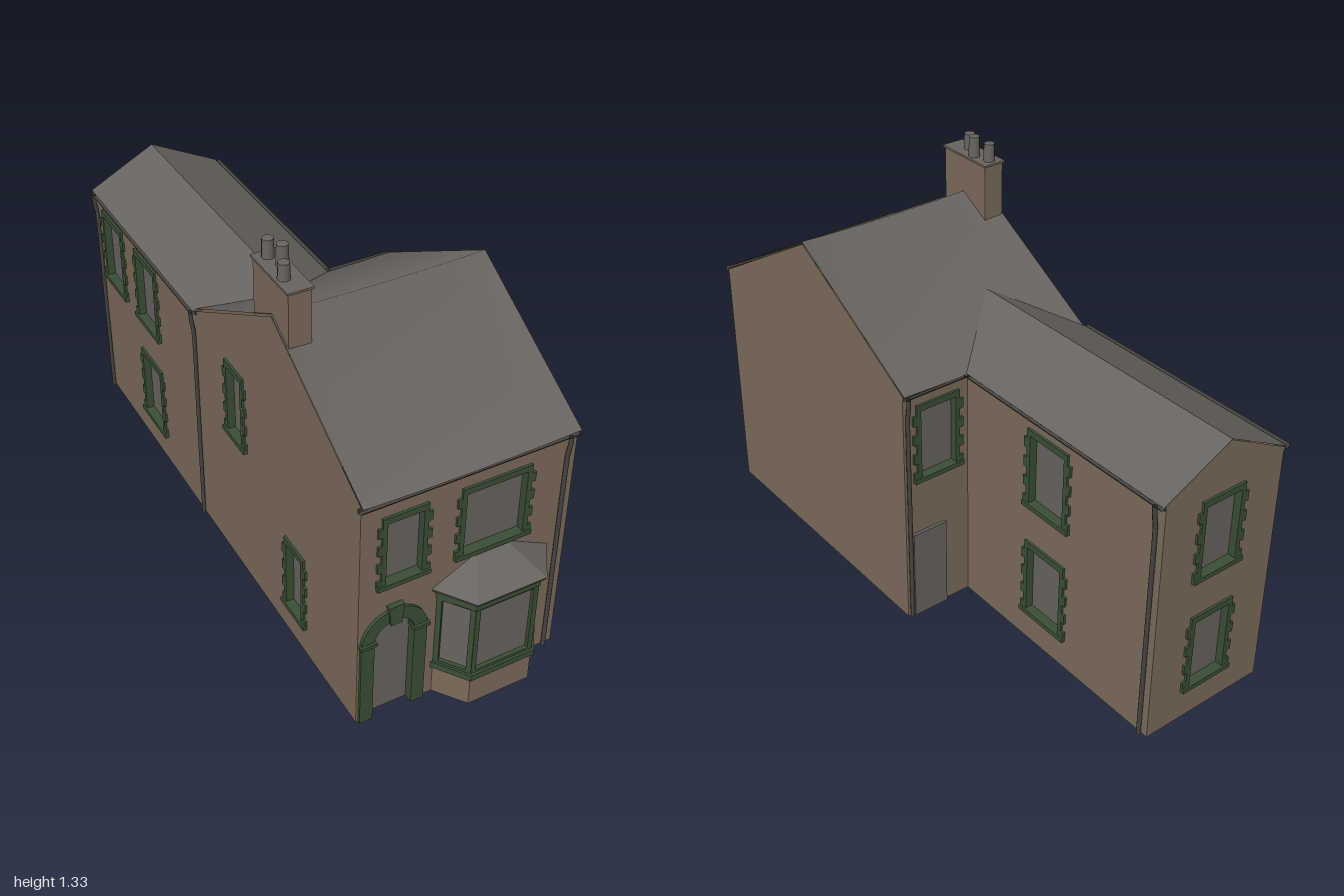
import * as THREE from 'three';

const mat = (name, color) => Object.assign(new THREE.MeshStandardMaterial({ color, side: THREE.DoubleSide }), { name });
const stone = mat('stone wall', 0x7d6c5a);
const slate = mat('slate grey', 0x686461);
const green = mat('green trim', 0x3a4f35);
const iron = mat('dark gutter', 0x454443);

const V2 = (x, y) => new THREE.Vector2(x, y);
const PI = Math.PI;

function add(parent, name, geometry, material, x = 0, y = 0, z = 0) {
  const m = new THREE.Mesh(geometry, material);
  m.name = name;
  m.position.set(x, y, z);
  parent.add(m);
  return m;
}
const box = (parent, name, material, w, h, d, x, y, z) =>
  add(parent, name, new THREE.BoxGeometry(w, h, d), material, x, y, z);
const rect = (x0, y0, x1, y1) => [V2(x0, y0), V2(x1, y0), V2(x1, y1), V2(x0, y1)];
const extrude = (shape, depth) => new THREE.ExtrudeGeometry(shape, { depth, bevelEnabled: false, curveSegments: 10 });

function faces(points, triangles) {
  const g = new THREE.BufferGeometry();
  g.setAttribute('position', new THREE.Float32BufferAttribute(triangles.flatMap(i => points[i]), 3));
  g.computeVertexNormals();
  return g;
}

// Horizontal slab from a plan outline of [x, z] points
function slab(parent, name, material, plan, y0, y1) {
  const g = extrude(new THREE.Shape(plan.map(([x, z]) => V2(x, -z))), y1 - y0);
  return add(parent, name, g.rotateX(-PI / 2), material, 0, y0, 0);
}

// Glass opening of a window [u, bottom, width, height]
const opening = ([u, y, w, h]) => rect(u - w / 2 + 0.028, y + 0.014, u + w / 2 - 0.028, y + h - 0.021);

// Window with toothed stone surround, sill and recessed pane
function addWindow(parent, win) {
  const [u, y, w, h] = win, steps = 8, right = [], left = [];
  for (let i = 0; i < steps; i++) {
    const half = w / 2 - (i % 2 ? 0.013 : 0);
    for (const k of [i, i + 1]) {
      right.push(V2(u + half, y + h * k / steps));
      left.unshift(V2(u - half, y + h * k / steps));
    }
  }
  const g = new THREE.Group();
  g.name = 'window';
  parent.add(g);
  const shape = new THREE.Shape([...right, ...left]);
  const hole = opening(win);
  shape.holes.push(new THREE.Path(hole));
  add(g, 'window surround', extrude(shape, 0.038), green, 0, 0, -0.03);
  add(g, 'window pane', new THREE.ShapeGeometry(new THREE.Shape(hole)), slate, 0, 0, -0.018);
  box(g, 'window sill', green, w, 0.016, 0.028, u, y + 0.006, 0);
}

// One elevation, drawn in its own plane with outward = local +z
function elevation(root, name, rotY, x, z, outline, windows = [], extraHole) {
  const g = new THREE.Group();
  g.name = name;
  g.rotation.y = rotY;
  g.position.set(x, 0, z);
  root.add(g);
  const shape = new THREE.Shape(outline);
  windows.forEach(w => shape.holes.push(new THREE.Path(opening(w))));
  if (extraHole) shape.holes.push(extraHole);
  add(g, name + ' wall', new THREE.ShapeGeometry(shape), stone);
  windows.forEach(w => addWindow(g, w));
  return g;
}

function gutter(parent, u0, u1) {
  const g = new THREE.CylinderGeometry(0.011, 0.011, u1 - u0, 8, 1, true, -PI / 2, PI);
  g.rotateZ(PI / 2).rotateX(PI / 2);
  const pos = g.attributes.position;
  g.computeBoundingBox();
  // keep the trough open upward
  if (g.boundingBox.max.y > 0.005) for (let i = 0; i < pos.count; i++) pos.setY(i, -pos.getY(i));
  g.computeVertexNormals();
  add(parent, 'gutter', g, iron, (u0 + u1) / 2, 0.838, 0.013);
  box(parent, 'fascia', iron, u1 - u0, 0.014, 0.006, (u0 + u1) / 2, 0.83, 0.003);
}

function downpipe(parent, u) {
  const pts = [[0.83, 0.016], [0.805, 0.015], [0.76, 0.008], [0.72, 0.007], [0.4, 0.007], [0, 0.007]];
  const curve = new THREE.CatmullRomCurve3(pts.map(([y, z]) => new THREE.Vector3(u, y, z)));
  add(parent, 'downpipe', new THREE.TubeGeometry(curve, 24, 0.007, 8), iron);
}

// Round arched opening as a list of points
function archPoints(cx, r, y0, spring) {
  const pts = [V2(cx + r, y0)];
  for (let i = 0; i <= 16; i++) pts.push(V2(cx + r * Math.cos(PI * i / 16), spring + r * Math.sin(PI * i / 16)));
  return [...pts, V2(cx - r, y0)];
}

function addFrontDoor(front) {
  const cx = -0.225, spring = 0.312;
  const inner = archPoints(cx, 0.065, 0, spring);
  const surround = new THREE.Shape([...archPoints(cx, 0.108, 0, spring), ...inner.slice().reverse()]);
  add(front, 'door arch', extrude(surround, 0.04), green, 0, 0, -0.03);
  add(front, 'front door', new THREE.ShapeGeometry(new THREE.Shape(inner)), slate, 0, 0, -0.02);
  const key = new THREE.Shape([V2(-0.018, 0.367), V2(0.018, 0.367), V2(0.025, 0.437), V2(-0.025, 0.437)]);
  add(front, 'keystone', extrude(key, 0.035), green, cx, 0, -0.018);
  for (const s of [-1, 1]) box(front, 'arch impost', green, 0.054, 0.012, 0.036, cx + s * 0.087, 0.315, 0);
}

function addBay(root) {
  const bay = new THREE.Group();
  bay.name = 'bay window';
  root.add(bay);
  const plan = o => [[-0.083 - o, 0.885], [-0.013 - o * 0.5, 0.98 + o], [0.2 + o * 0.5, 0.98 + o], [0.27 + o, 0.885]];
  slab(bay, 'bay base', stone, plan(0), 0, 0.108);
  slab(bay, 'bay sill', green, plan(0.009), 0.106, 0.128);
  slab(bay, 'bay panes', slate, plan(-0.012), 0.128, 0.39);
  slab(bay, 'bay head', green, plan(0.004), 0.388, 0.424);
  slab(bay, 'bay eave', iron, plan(0.018), 0.422, 0.43);
  // Framed lights on the three facets
  const p = plan(0);
  for (let i = 0; i < 3; i++) {
    const [ax, az] = p[i], [bx, bz] = p[i + 1], half = Math.hypot(bx - ax, bz - az) / 2;
    const frame = new THREE.Shape(rect(-half, 0.126, half, 0.39));
    frame.holes.push(new THREE.Path(rect(-half + 0.016, 0.138, half - 0.016, 0.382)));
    const m = add(bay, 'bay frame', extrude(frame, 0.014), green, (ax + bx) / 2, 0, (az + bz) / 2);
    m.rotation.y = Math.atan2(-(bz - az), bx - ax);
    m.translateZ(-0.013);
  }
  const e = plan(0.02).map(([x, z]) => [x, 0.43, z]);
  const pts = [...e, [0.04, 0.508, 0.886], [0.142, 0.508, 0.886]];
  add(bay, 'bay roof', faces(pts, [0, 1, 4, 1, 2, 5, 1, 5, 4, 2, 3, 5]), slate);
}

function addRoofs(root) {
  // Main roof: three rows (back eave, ridge, front eave) with a slight sag
  const rows = [[-0.143, 0.84], [0.383, 1.139], [0.9, 0.84]];
  const g = new THREE.PlaneGeometry(0.694, 1, 6, 2);
  const pos = g.attributes.position;
  for (let i = 0; i < pos.count; i++) {
    const [z, y] = rows[Math.floor(i / 7)], x = pos.getX(i);
    pos.setXYZ(i, x + 0.005, y - 0.007 * (1 - (x / 0.347) ** 2), z);
  }
  g.computeVertexNormals();
  add(root, 'main roof', g, slate);
  // Rear wing roof running into the main slope
  const pts = [[-0.352, 0.836, -0.988], [-0.118, 0.957, -0.988], [0.122, 0.836, -0.988],
    [-0.352, 0.836, -0.14], [-0.118, 0.957, 0.068], [0.122, 0.836, -0.14]];
  add(root, 'wing roof', faces(pts, [0, 3, 4, 0, 4, 1, 1, 4, 5, 1, 5, 2]), slate);
}

function addChimney(root) {
  const c = new THREE.Group();
  c.name = 'chimney';
  root.add(c);
  box(c, 'chimney stack', stone, 0.07, 0.26, 0.21, -0.302, 1.13, 0.375);
  box(c, 'chimney cap', slate, 0.08, 0.007, 0.222, -0.302, 1.26, 0.375);
  for (const [x, z, top] of [[-0.303, 0.295, 1.322], [-0.288, 0.353, 1.331], [-0.315, 0.413, 1.315]])
    add(c, 'chimney pot', new THREE.CylinderGeometry(0.017, 0.019, top - 1.26, 12), slate, x, (top + 1.26) / 2, z);
}

export function createModel() {
  const root = new THREE.Group();
  root.name = 'house';
  const H = 0.838, up = 0.515, low = 0.108, h = 0.273;
  const gable = (a, b, apex, top) => [V2(a, 0), V2(b, 0), V2(b, H), V2(apex, top), V2(a, H)];

  // Main house
  const front = elevation(root, 'front', 0, 0, 0.885, rect(-0.34, 0, 0.35, H),
    [[-0.203, up, 0.17, 0.256], [0.089, up, 0.254, 0.256]], new THREE.Path(archPoints(-0.225, 0.066, 0.001, 0.312)));
  addFrontDoor(front);
  gutter(front, -0.35, 0.348);
  downpipe(front, 0.318);

  const back = elevation(root, 'back', PI, 0, -0.13, rect(-0.35, 0, 0.34, H), [[-0.225, up, 0.185, h]]);
  box(back, 'back door', slate, 0.125, 0.32, 0.012, -0.265, 0.16, 0.004);
  gutter(back, -0.35, -0.115);
  downpipe(back, -0.338);

  elevation(root, 'right gable', PI / 2, 0.35, 0, gable(-0.885, 0.13, -0.383, 1.13));
  elevation(root, 'left gable', -PI / 2, -0.34, 0, gable(-0.13, 0.885, 0.383, 1.13),
    [[0.128, up, 0.148, h], [0.512, low, 0.148, h]]);

  // Rear wing
  const wr = elevation(root, 'wing right', PI / 2, 0.11, 0, rect(0.13, 0, 0.985, H),
    [[0.512, up, 0.205, h], [0.512, low, 0.205, h]]);
  gutter(wr, 0.14, 0.985);
  downpipe(wr, 0.958);
  const wl = elevation(root, 'wing left', -PI / 2, -0.34, 0, rect(-0.985, 0, -0.13, H),
    [[-0.835, up, 0.2, h], [-0.55, up, 0.2, h], [-0.55, low, 0.2, h]]);
  gutter(wl, -0.985, -0.135);
  downpipe(wl, -0.965);
  downpipe(wl, -0.15);
  elevation(root, 'wing rear', PI, 0, -0.985, gable(-0.11, 0.34, 0.118, 0.953),
    [[0.11, up, 0.19, h], [0.11, low, 0.19, h]]);

  addBay(root);
  addRoofs(root);
  addChimney(root);
  return root;
}
